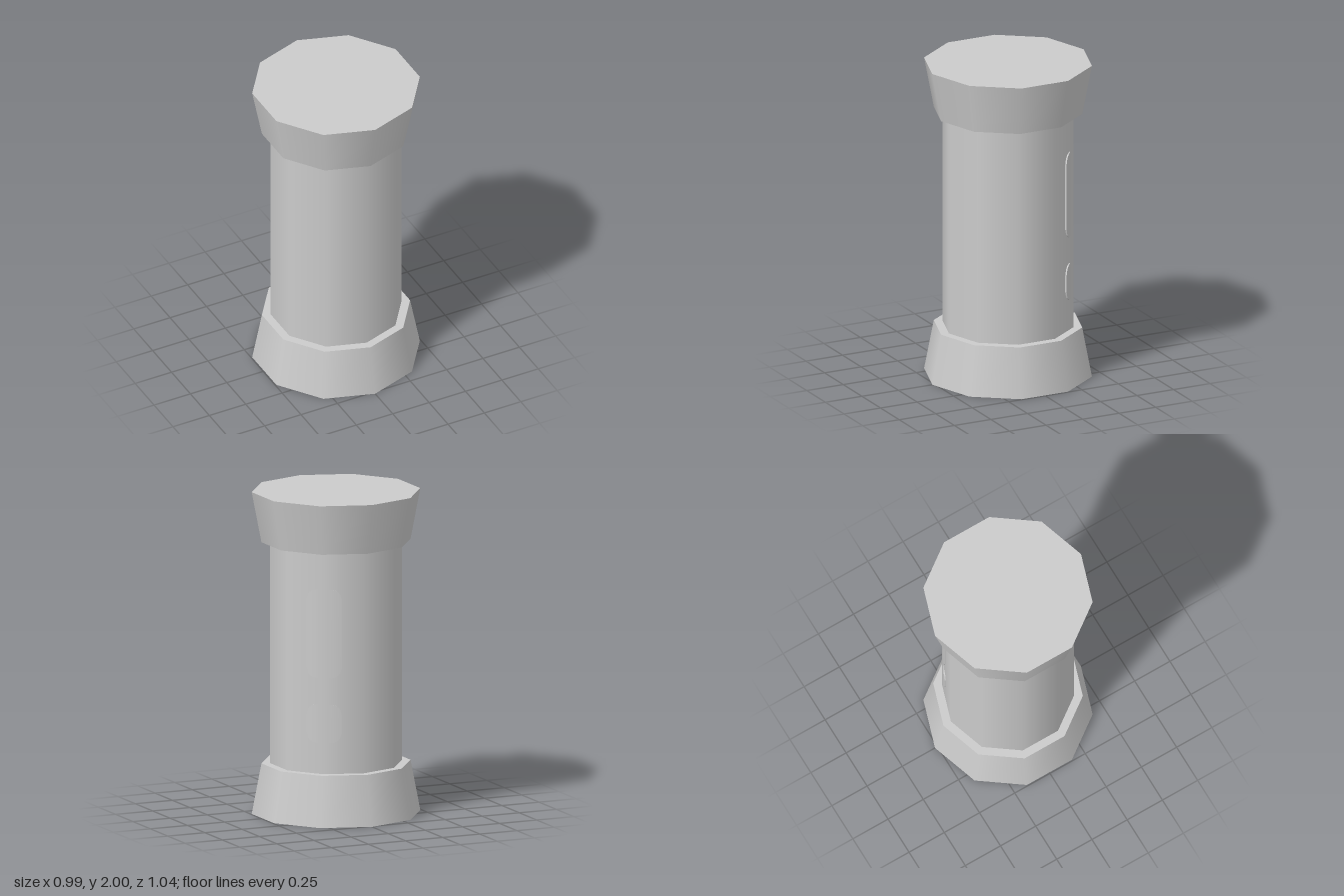
import * as THREE from 'three';

const SIDES = 10;

export function createModel() {
  const group = new THREE.Group();
  const material = new THREE.MeshStandardMaterial({ color: 0xcccccc });

  const add = (name, geometry, y) => {
    const mesh = new THREE.Mesh(geometry, material);
    mesh.name = name;
    mesh.position.y = y;
    group.add(mesh);
    return mesh;
  };

  // Ten-sided column with a flared collar at each end
  const collarHeight = 0.313;
  add('body', new THREE.CylinderGeometry(0.405, 0.405, 1.5, SIDES), 1);
  add('baseCollar', new THREE.CylinderGeometry(0.458, 0.518, collarHeight, SIDES), collarHeight / 2);
  add('topCollar', new THREE.CylinderGeometry(0.518, 0.458, collarHeight, SIDES), 2 - collarHeight / 2);

  // Thin rounded panels wrapped around one edge of the column
  const panel = (name, bottom, top) => {
    const radius = 0.395, depth = 0.04, halfWidth = 0.11, corner = 0.065;
    const geometry = new THREE.BoxGeometry(2 * halfWidth, top - bottom, depth, 20, 1, 1);
    const p = geometry.attributes.position;
    for (let i = 0; i < p.count; i++) {
      const t = p.getX(i);
      const over = Math.min(corner, Math.max(0, Math.abs(t) - halfWidth + corner));
      const cut = corner - Math.sqrt(corner * corner - over * over);
      const r = radius - depth / 2 + p.getZ(i);
      const angle = Math.asin(t / radius);
      p.setXYZ(i, r * Math.sin(angle), p.getY(i) - Math.sign(p.getY(i)) * cut, r * Math.cos(angle));
    }
    geometry.computeVertexNormals();
    add(name, geometry, (bottom + top) / 2).rotation.y = Math.PI * 0.8;
  };
  panel('longPanel', 0.908, 1.458);
  panel('shortPanel', 0.505, 0.743);

  return group;
}
